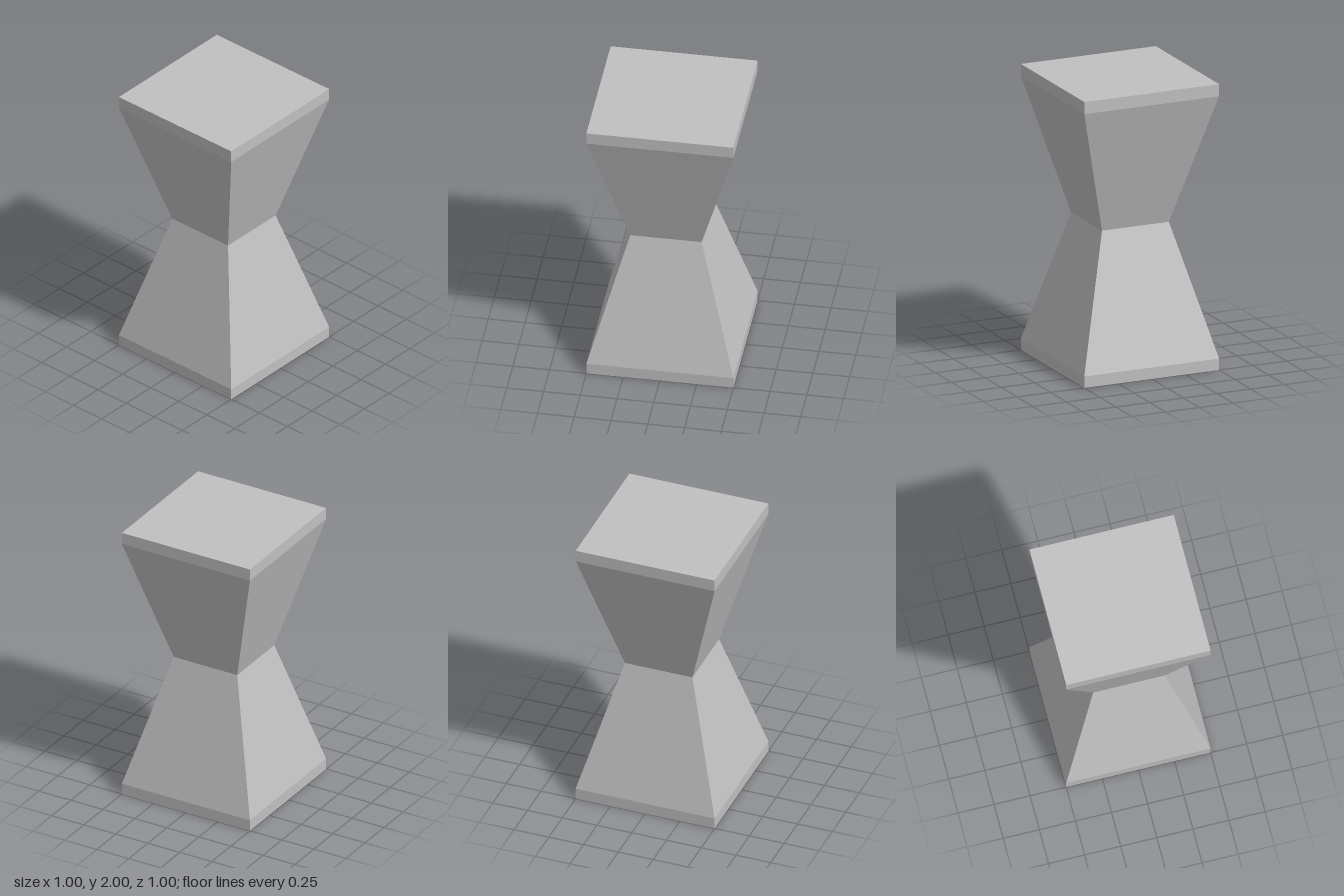
import * as THREE from 'three';

// Four-sided open wall between two rectangles given as [y, halfX, halfZ]
function wall(name, bottom, top, material) {
  const geo = new THREE.CylinderGeometry(Math.SQRT2, Math.SQRT2, 1, 4, 1, true, Math.PI / 4);
  const pos = geo.attributes.position;
  for (let i = 0; i < pos.count; i++) {
    const [y, hx, hz] = pos.getY(i) > 0 ? top : bottom;
    pos.setXYZ(i, Math.sign(pos.getX(i)) * hx, y, Math.sign(pos.getZ(i)) * hz);
  }
  geo.computeVertexNormals();
  const mesh = new THREE.Mesh(geo, material);
  mesh.name = name;
  return mesh;
}

// Flat square closing one end
function cap(name, y, up, material) {
  const geo = new THREE.PlaneGeometry(1, 1).rotateX(up ? -Math.PI / 2 : Math.PI / 2);
  const mesh = new THREE.Mesh(geo, material);
  mesh.name = name;
  mesh.position.y = y;
  return mesh;
}

export function createModel() {
  const group = new THREE.Group();
  group.name = 'hourglassPedestal';
  const grey = new THREE.MeshStandardMaterial({ color: 0xc0c0c0, flatShading: true });
  grey.name = 'light grey';

  // Sections from the floor up: base rim, lower taper, upper taper, top rim
  const sections = [[0, 0.5, 0.5], [0.08, 0.5, 0.5], [1, 0.248, 0.243], [1.915, 0.5, 0.5], [2, 0.5, 0.5]];
  const names = ['baseRim', 'lowerTaper', 'upperTaper', 'topRim'];
  names.forEach((name, i) => group.add(wall(name, sections[i], sections[i + 1], grey)));

  // Underside and table surface
  group.add(cap('underside', 0, false, grey), cap('topSurface', 2, true, grey));
  return group;
}
